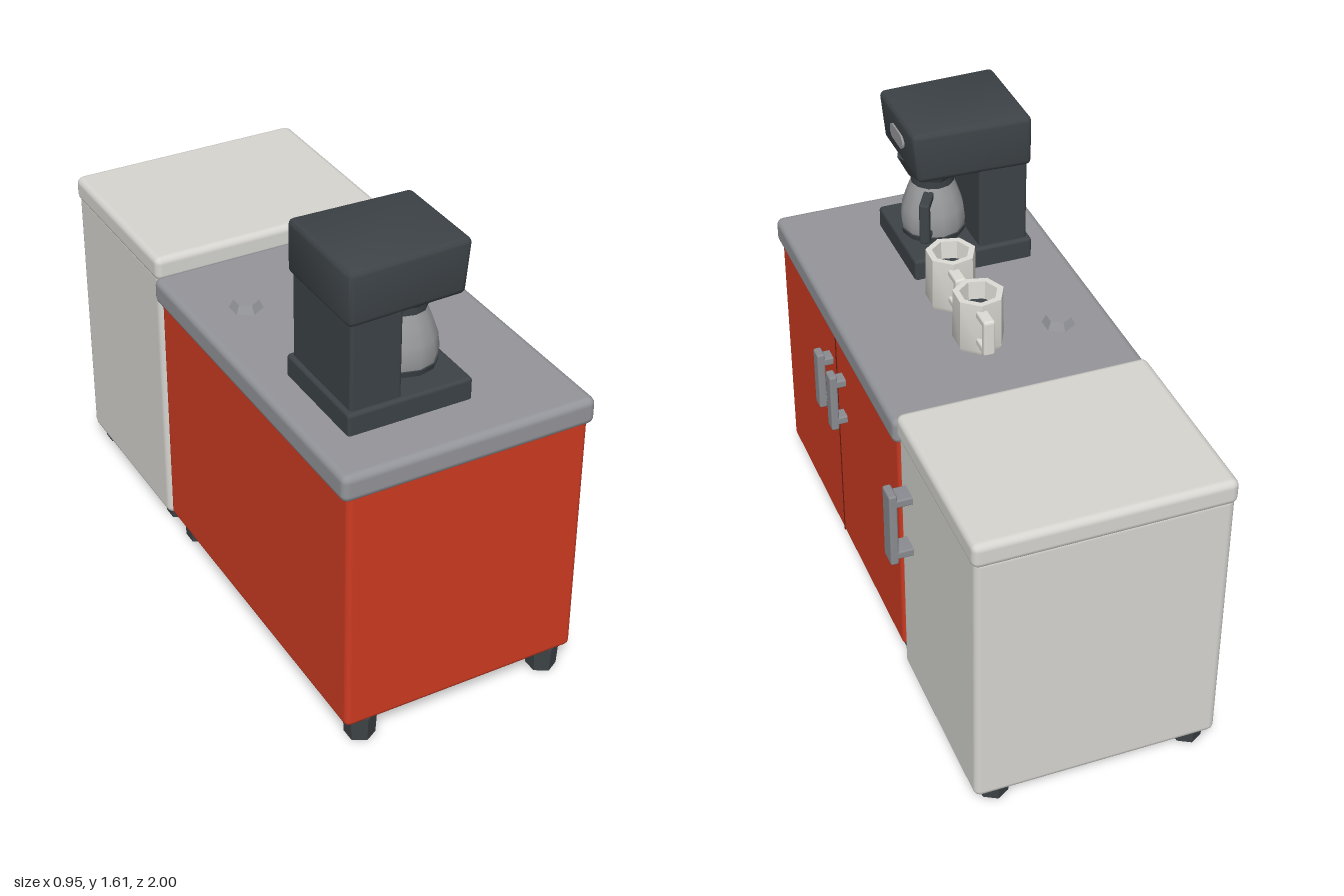
import * as THREE from 'three';
import { RoundedBoxGeometry } from 'three/addons/geometries/RoundedBoxGeometry.js';
import { toCreasedNormals } from 'three/addons/utils/BufferGeometryUtils.js';

const mat = (name, color) => Object.assign(new THREE.MeshStandardMaterial({ color }), { name });
const red = mat('cabinet red', 0xce3b22);
const seamRed = mat('seam dark red', 0x6e1d12);
const white = mat('enamel white', 0xd6d5d0);
const cream = mat('mug cream', 0xdedcd5);
const grey = mat('counter grey', 0x94959a);
const metal = mat('handle grey', 0x8a8c91);
const dark = mat('charcoal', 0x3d4347);
const glass = mat('pot grey', 0x98999b);

function add(parent, name, geo, material, x = 0, y = 0, z = 0) {
  const m = new THREE.Mesh(geo, material);
  m.name = name;
  m.position.set(x, y, z);
  parent.add(m);
  return m;
}

// rounded box given by its limits on each axis
function block(parent, name, material, [x0, x1], [y0, y1], [z0, z1], r = 0.02) {
  const geo = new RoundedBoxGeometry(x1 - x0, y1 - y0, z1 - z0, 2, r);
  return add(parent, name, geo, material, (x0 + x1) / 2, (y0 + y1) / 2, (z0 + z1) / 2);
}

const faceted = (geo) => toCreasedNormals(geo, 0.5);

function group(parent, name, x = 0, y = 0, z = 0) {
  const g = new THREE.Group();
  g.name = name;
  g.position.set(x, y, z);
  parent.add(g);
  return g;
}

// six-sided feet under a cupboard
function feet(parent, xs, zs, h) {
  for (const x of xs) for (const z of zs) {
    const geo = new THREE.CylinderGeometry(0.055, 0.05, h, 6);
    add(parent, 'foot', faceted(geo), dark, x, h / 2, z);
  }
}

// upright bracket handle on the +x side
function pull(parent, z, y0, y1, width, reach) {
  const g = group(parent, 'pullHandle');
  const zr = [z - width / 2, z + width / 2];
  block(g, 'bar', metal, [reach - 0.028, reach], [y0, y1], zr, 0.007);
  for (const y of [y0 + 0.02, y1 - 0.05]) {
    block(g, 'arm', metal, [0.37, reach - 0.01], [y, y + 0.03], zr, 0.006);
  }
}

function mug(parent, z) {
  const g = group(parent, 'mug', -0.005, 1.05, z);
  const wall = [[0, 0], [0.078, 0], [0.088, 0.02], [0.086, 0.2], [0.064, 0.2], [0.06, 0.13]];
  const pts = wall.map(([r, y]) => new THREE.Vector2(r, y));
  const body = add(g, 'mugBody', faceted(new THREE.LatheGeometry(pts, 7)), cream);
  const inside = add(g, 'mugInside', new THREE.CircleGeometry(0.063, 7).rotateX(-Math.PI / 2), dark, 0, 0.135, 0);
  body.rotation.y = 0.2;
  inside.rotation.y = 0.2 + Math.PI / 2;
  // squared handle towards -z
  const xr = [-0.003, 0.037];
  block(g, 'mugHandleTop', cream, xr, [0.15, 0.178], [-0.145, -0.065], 0.008);
  block(g, 'mugHandleBottom', cream, xr, [0.045, 0.073], [-0.13, -0.065], 0.008);
  block(g, 'mugHandleGrip', cream, xr, [0.045, 0.175], [-0.146, -0.118], 0.008);
}

function coffeeMaker(parent) {
  const g = group(parent, 'coffeeMaker');
  block(g, 'base', dark, [-0.36, 0.07], [1.045, 1.13], [0.43, 0.82], 0.012);
  block(g, 'column', dark, [-0.345, -0.17], [1.11, 1.45], [0.445, 0.805], 0.012);

  // head, narrowing a little towards the serving side
  const head = new RoundedBoxGeometry(0.42, 0.185, 0.38, 2, 0.02);
  const p = head.attributes.position;
  for (let i = 0; i < p.count; i++) {
    if (p.getX(i) > 0.18) p.setZ(i, p.getZ(i) * 0.93);
    if (p.getX(i) > 0 && p.getY(i) < 0) p.setX(i, p.getX(i) - 0.015);
  }
  head.computeVertexNormals();
  add(g, 'head', toCreasedNormals(head, 0.7), dark, -0.148, 1.5125, 0.625);

  // badge on the head
  const s = new THREE.Shape();
  s.absarc(0.038, 0, 0.026, -Math.PI / 2, Math.PI / 2);
  s.absarc(-0.038, 0, 0.026, Math.PI / 2, Math.PI * 1.5);
  const badge = new THREE.ExtrudeGeometry(s, { depth: 0.008, bevelEnabled: false, curveSegments: 5 });
  add(g, 'badge', badge, glass, 0.056, 1.52, 0.62).rotation.y = Math.PI / 2;

  const basket = new THREE.CylinderGeometry(0.125, 0.085, 0.08, 8);
  add(g, 'brewBasket', faceted(basket), dark, -0.065, 1.395, 0.625);

  // pot with its dark foot, lid and handle
  const pot = group(g, 'pot', -0.065, 1.13, 0.625);
  const profile = [[0, 0.015], [0.108, 0.015], [0.114, 0.05], [0.108, 0.1], [0.088, 0.16], [0.07, 0.205], [0, 0.205]];
  const glassGeo = new THREE.LatheGeometry(profile.map(([r, y]) => new THREE.Vector2(r, y)), 12);
  add(pot, 'potGlass', toCreasedNormals(glassGeo, 0.7), glass);
  add(pot, 'potFoot', new THREE.CylinderGeometry(0.115, 0.11, 0.02, 12), dark, 0, 0.01, 0);
  add(pot, 'potLid', new THREE.CylinderGeometry(0.078, 0.076, 0.035, 12), dark, 0, 0.213, 0);
  const grip = group(pot, 'potHandle');
  grip.rotation.y = 1.05;
  block(grip, 'gripTop', dark, [0.06, 0.165], [0.155, 0.185], [-0.018, 0.018], 0.008);
  block(grip, 'gripBar', dark, [0.138, 0.168], [0.03, 0.185], [-0.018, 0.018], 0.008);
  block(grip, 'gripBottom', dark, [0.1, 0.165], [0.03, 0.055], [-0.018, 0.018], 0.008);
}

export function createModel() {
  const model = new THREE.Group();
  model.name = 'coffeeCorner';

  // cabinet with two doors facing +x
  const cabinet = group(model, 'cabinet');
  block(cabinet, 'cabinetBody', red, [-0.452, 0.388], [0.08, 0.98], [-0.292, 0.985], 0.02);
  add(cabinet, 'doorSeam', new THREE.BoxGeometry(0.004, 0.86, 0.007), seamRed, 0.388, 0.52, 0.355);
  block(cabinet, 'counterTop', grey, [-0.475, 0.404], [0.96, 1.055], [-0.3, 1], 0.025);
  pull(cabinet, 0.42, 0.63, 0.855, 0.052, 0.445);
  pull(cabinet, 0.28, 0.63, 0.855, 0.05, 0.445);
  feet(cabinet, [-0.375, 0.31], [0.935, -0.22], 0.09);

  // small fridge
  const fridge = group(model, 'fridge');
  block(fridge, 'fridgeBody', white, [-0.448, 0.394], [0.045, 1.04], [-0.995, -0.318], 0.025);
  block(fridge, 'fridgeTop', white, [-0.455, 0.402], [1.015, 1.105], [-1, -0.312], 0.025);
  pull(fridge, -0.41, 0.6, 0.882, 0.07, 0.472);
  feet(fridge, [-0.375, 0.31], [-0.385, -0.93], 0.055);

  // things on the counter
  coffeeMaker(model);
  mug(model, 0.02);
  mug(model, 0.28);
  const cap = new THREE.CylinderGeometry(0.042, 0.058, 0.03, 6);
  add(model, 'cap', faceted(cap), grey, -0.29, 1.068, -0.0 + 0.02);

  return model;
}
